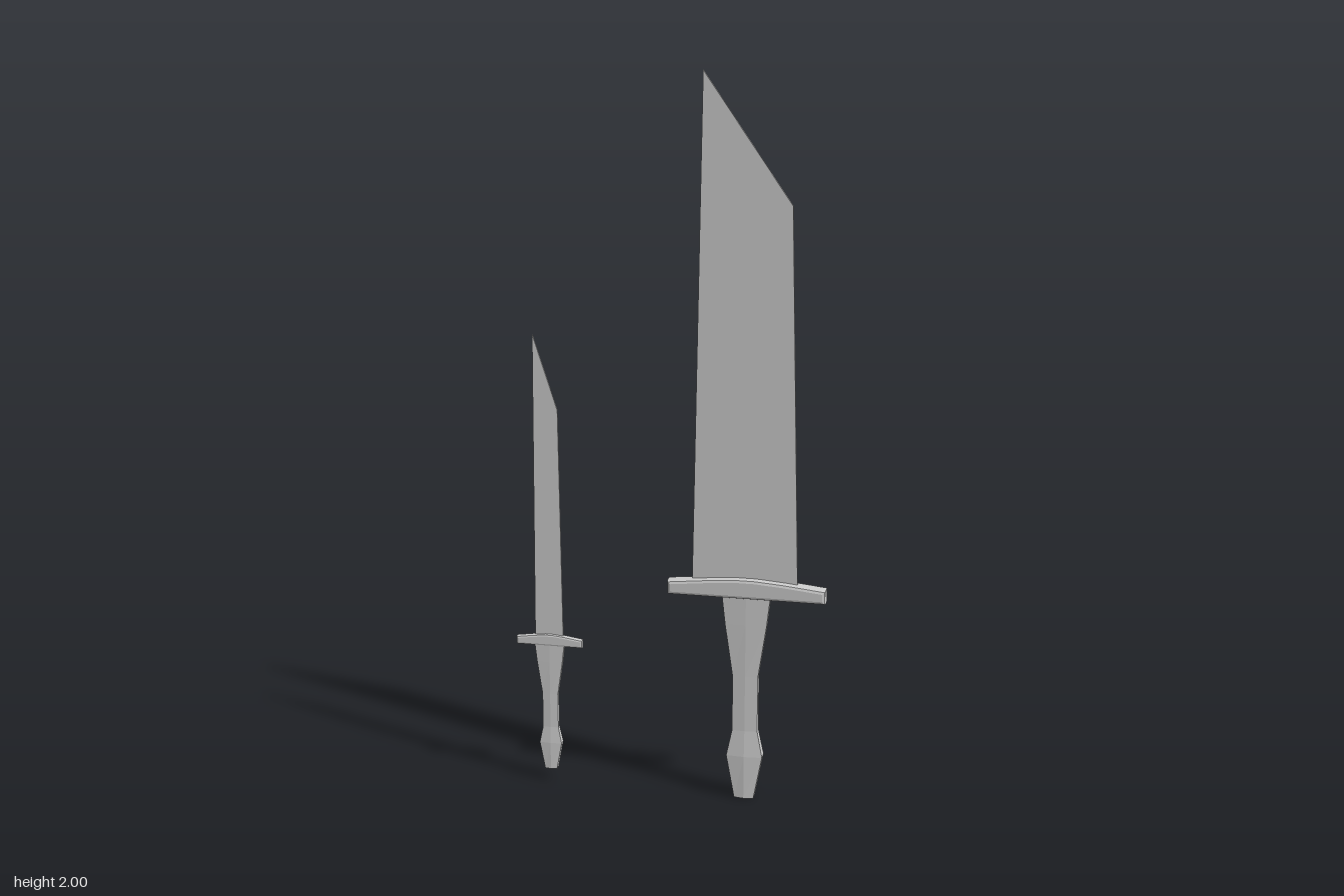
import * as THREE from 'three';

const material = new THREE.MeshStandardMaterial({ color: 0xcccccc, flatShading: true });

function outline(points) {
  return new THREE.Shape(points.map(([x, y]) => new THREE.Vector2(x, y)));
}

function addMesh(group, name, geometry) {
  const mesh = new THREE.Mesh(geometry, material);
  mesh.name = name;
  group.add(mesh);
}

// Flat slab with a slanted tip
function bladeGeometry(points, thickness) {
  const g = new THREE.ExtrudeGeometry(outline(points), { depth: thickness, bevelEnabled: false });
  return g.translate(0, 0, -thickness / 2);
}

// Bar with a gently arched top and softened edges
function guardGeometry(halfWidth, bottom, height, halfDepth) {
  const b = height * 0.16;
  const w = halfWidth - b, y0 = bottom + b, end = bottom + height * 0.7 - b, top = bottom + height - b;
  const shape = outline([
    [-w, y0], [w, y0], [w, end], [w * 0.5, end + (top - end) * 0.65],
    [w * 0.12, top], [-w * 0.12, top], [-w * 0.5, end + (top - end) * 0.65], [-w, end],
  ]);
  const depth = 2 * (halfDepth - b);
  const g = new THREE.ExtrudeGeometry(shape, { depth, bevelSize: b, bevelThickness: b, bevelSegments: 2 });
  return g.translate(0, 0, -depth / 2);
}

// Grip: six-sided sections [height, half width, half depth] joined in rings
const gripSections = [
  [0, 0.027, 0.02], [0.125, 0.05, 0.02], [0.2, 0.035, 0.014],
  [0.36, 0.035, 0.013], [0.51, 0.057, 0.013], [0.6, 0.067, 0.013],
];

function gripGeometry(scale, base) {
  const positions = [], index = [], n = 6;
  for (const [y, w, d] of gripSections) {
    const ring = [[w, 0.8 * d], [0, d], [-w, 0.8 * d], [-w, -0.8 * d], [0, -d], [w, -0.8 * d]];
    for (const [x, z] of ring) positions.push(x * scale, base + y * scale, z * scale);
  }
  const last = (gripSections.length - 1) * n;
  for (let r = 0; r < last; r += n) {
    for (let i = 0; i < n; i++) {
      const a = r + i, b = r + (i + 1) % n;
      index.push(a, a + n, b, b, a + n, b + n);
    }
  }
  for (let i = 1; i < n - 1; i++) {
    index.push(0, i, i + 1, last, last + i + 1, last + i);
  }
  const g = new THREE.BufferGeometry();
  g.setAttribute('position', new THREE.Float32BufferAttribute(positions, 3));
  g.setIndex(index);
  const flat = g.toNonIndexed();
  flat.computeVertexNormals();
  return flat;
}

function createWeapon({ name, x, grip, guard, blade, thickness }) {
  const weapon = new THREE.Group();
  weapon.name = name;
  weapon.position.x = x;
  addMesh(weapon, 'grip', gripGeometry(...grip));
  addMesh(weapon, 'guard', guardGeometry(...guard));
  addMesh(weapon, 'blade', bladeGeometry(blade, thickness));
  return weapon;
}

export function createModel() {
  const model = new THREE.Group();
  model.name = 'swordAndDagger';
  model.add(createWeapon({
    name: 'sword', x: 0.213,
    grip: [1, 0],
    guard: [0.217, 0.588, 0.056, 0.022],
    blade: [[-0.15, 0.62], [0.139, 0.62], [0.11, 1.66], [-0.126, 2]],
    thickness: 0.007,
  }));
  model.add(createWeapon({
    name: 'dagger', x: -0.341,
    grip: [0.63, 0.035],
    guard: [0.094, 0.405, 0.034, 0.01],
    blade: [[-0.041, 0.42], [0.039, 0.42], [0.032, 1.085], [-0.034, 1.292]],
    thickness: 0.005,
  }));
  return model;
}
